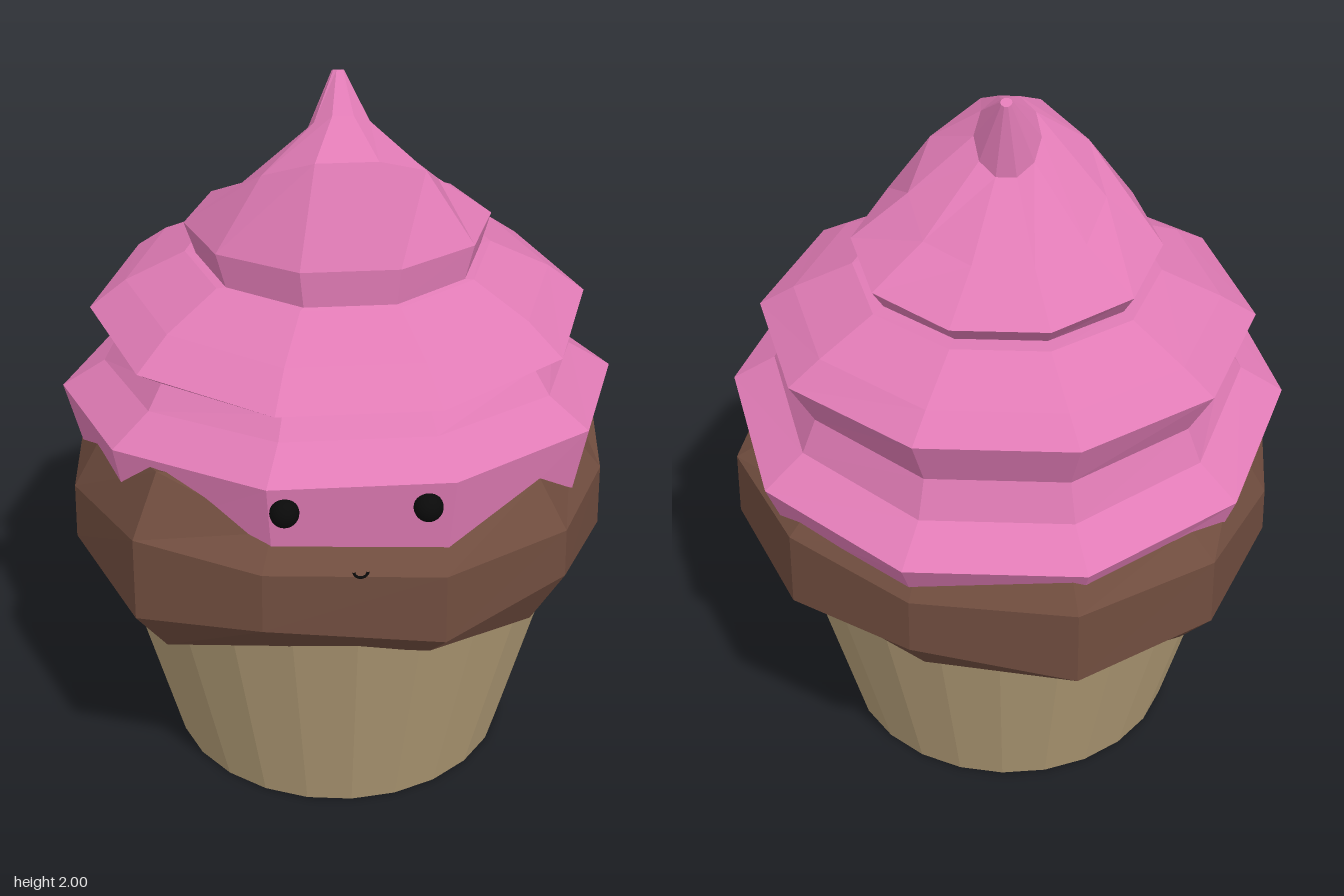
import * as THREE from 'three';

const mat = (color) => new THREE.MeshStandardMaterial({ color, flatShading: true });

// Skin a stack of closed rings (bottom to top) and cap both ends.
function loft(rings) {
  const n = rings[0].length, pos = [], idx = [];
  const centre = (r) => r.reduce((s, p) => s.map((v, k) => v + p[k] / n), [0, 0, 0]);
  rings.forEach((r) => r.forEach((p) => pos.push(...p)));
  for (let j = 0; j < rings.length - 1; j++) {
    for (let i = 0; i < n; i++) {
      const a = j * n + i, b = j * n + (i + 1) % n;
      idx.push(a, a + n, b, b, a + n, b + n);
    }
  }
  const last = rings.length - 1, bottom = pos.length / 3;
  pos.push(...centre(rings[0]), ...centre(rings[last]));
  for (let i = 0; i < n; i++) {
    const k = (i + 1) % n;
    idx.push(bottom, i, k, bottom + 1, last * n + k, last * n + i);
  }
  const g = new THREE.BufferGeometry();
  g.setAttribute('position', new THREE.Float32BufferAttribute(pos, 3));
  g.setIndex(idx);
  const flat = g.toNonIndexed();
  flat.computeVertexNormals();
  return flat;
}

// Ten-sided ring whose height runs from yBack to yFront.
function swirlRing([r, cz, yFront, yBack, bend = 1]) {
  return Array.from({ length: 10 }, (_, i) => {
    const a = i * Math.PI / 5, s = Math.sin(a);
    const t = THREE.MathUtils.clamp((s / Math.sin(Math.PI * 0.4) + 1) / 2, 0, 1);
    return [r * Math.cos(a), yBack + (yFront - yBack) * t ** bend, cz + r * s];
  });
}

export function createModel() {
  const group = new THREE.Group();
  group.name = 'cupcake';
  const add = (name, geometry, material, x = 0, y = 0, z = 0) => {
    const m = new THREE.Mesh(geometry, material);
    m.name = name;
    m.position.set(x, y, z);
    group.add(m);
    return m;
  };

  // Tapered paper cup
  add('paperCup', new THREE.CylinderGeometry(0.67, 0.487, 0.7, 24), mat(0xb39d77), -0.005, 0.35, 0.042);

  // Lumpy cake spilling over the cup: x, z, then heights of rim, shoulder, belly and hem
  const cake = [
    [0.77, -0.15, 0.98, 0.93, 0.74, 0.63], [0.72, 0.27, 1.02, 0.92, 0.74, 0.64],
    [0.56, 0.62, 1.06, 0.94, 0.80, 0.61], [0.22, 0.785, 0.99, 0.92, 0.72, 0.62],
    [-0.26, 0.785, 1.02, 0.95, 0.78, 0.66], [-0.59, 0.64, 1.14, 0.98, 0.74, 0.59],
    [-0.755, 0.27, 1.08, 0.93, 0.77, 0.60], [-0.74, -0.21, 1.04, 0.90, 0.77, 0.64],
    [-0.58, -0.58, 1.00, 0.94, 0.74, 0.61], [-0.22, -0.79, 1.02, 0.92, 0.70, 0.64],
    [0.23, -0.73, 1.00, 0.90, 0.74, 0.61], [0.57, -0.52, 1.02, 0.94, 0.72, 0.64],
  ];
  const cakeRing = (scale, y) => cake.map((p) => [p[0] * scale, y(p), p[1] * scale]);
  add('cake', loft([
    cakeRing(0.70, () => 0.68),
    cakeRing(0.86, (p) => p[5]),
    cakeRing(0.99, (p) => p[4]),
    cakeRing(0.985, (p) => p[3]),
    cakeRing(0.87, (p) => p[2]),
    cakeRing(0.60, () => 1.05),
  ]), mat(0x6f4c3e));

  // Frosting swirl: radius, z centre, front height, back height, bend
  const swirl = [
    [0.72, 0.01, 0.88, 0.90], [0.775, 0, 1.18, 1.02], [0.655, 0, 1.25, 1.10],
    [0.61, -0.01, 1.30, 1.21], [0.685, 0.01, 1.345, 1.345], [0.585, -0.01, 1.42, 1.41],
    [0.42, -0.01, 1.50, 1.49], [0.39, 0.01, 1.505, 1.49], [0.42, -0.015, 1.605, 1.55],
    [0.265, 0.02, 1.855, 1.63, 1.7], [0.09, 0.055, 1.93, 1.78], [0.016, -0.025, 2.0, 1.99],
  ];
  add('frosting', loft(swirl.map(swirlRing)), mat(0xe07bb5));

  // Face
  const black = new THREE.MeshStandardMaterial({ color: 0x0a0a0a });
  for (const [name, x] of [['rightEye', -0.195], ['leftEye', 0.168]]) {
    add(name, new THREE.SphereGeometry(0.038, 20, 14), black, x, 1.112, 0.737);
  }
  const mouth = add('mouth', new THREE.TorusGeometry(0.018, 0.004, 6, 12, Math.PI), black, -0.005, 0.95, 0.773);
  mouth.rotation.z = Math.PI;

  return group;
}
